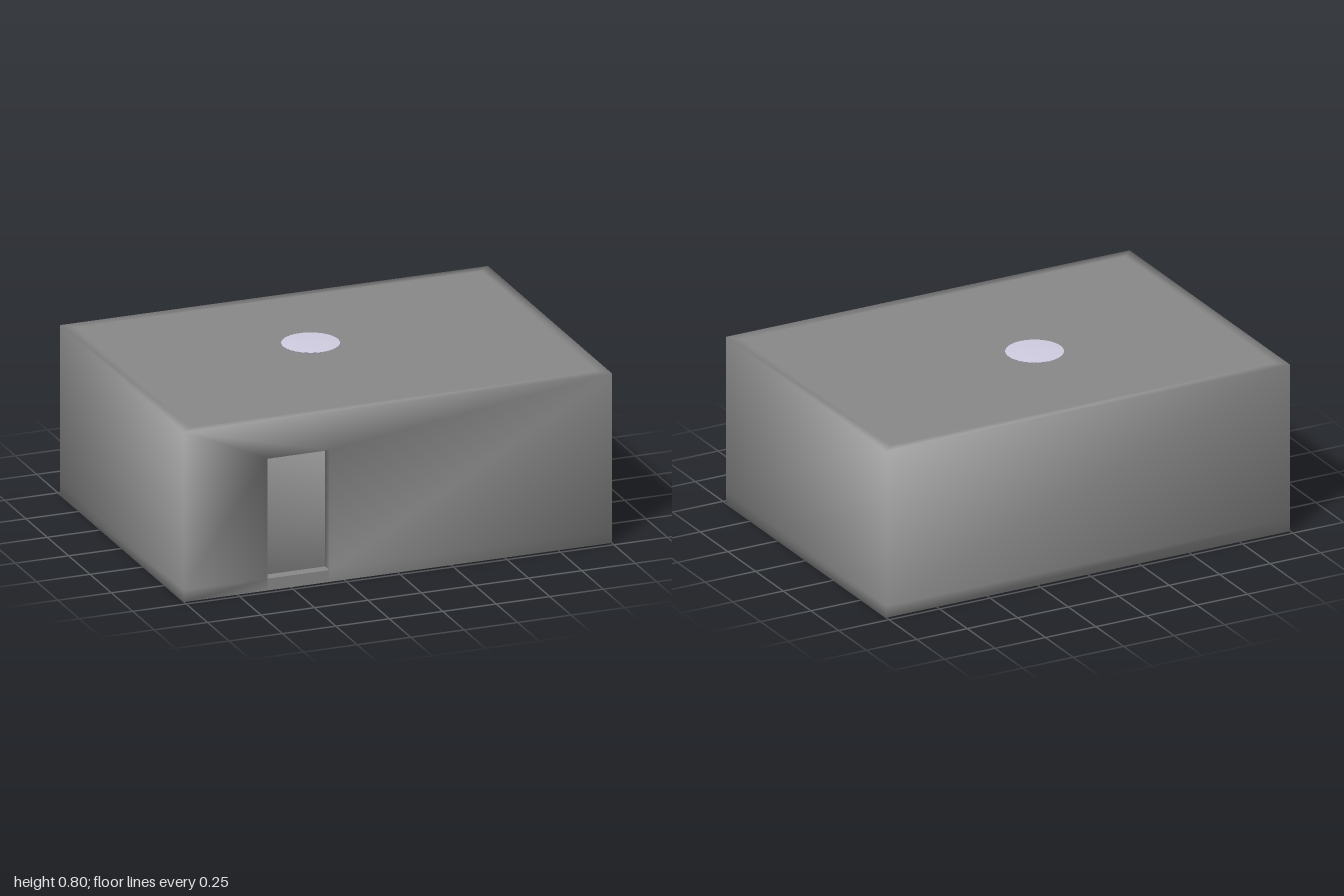
import * as THREE from 'three';

const H = 0.785, Z = 0.725, T = 0.05;          // outer height, half depth, wall thickness
const FLOOR = 0.055, CEIL = H - T;
const DOOR = { l: -0.61, r: -0.32, top: 0.61 };

// Collects quads with shared corners and smooths them by corner angle
function smoothQuads(quads) {
  const index = new Map(), pos = [], idx = [];
  const id = (p) => {
    const key = p.map((v) => v.toFixed(4)).join();
    if (!index.has(key)) { index.set(key, index.size); pos.push(...p); }
    return index.get(key);
  };
  for (const q of quads) {
    const [a, b, c, d] = q.map(id);
    idx.push(a, b, c, a, c, d);
  }
  const at = (i) => new THREE.Vector3().fromArray(pos, i * 3);
  const normals = Array.from({ length: index.size }, () => new THREE.Vector3());
  for (let t = 0; t < idx.length; t += 3) {
    for (let k = 0; k < 3; k++) {
      const i = idx[t + k], p = at(i);
      const u = at(idx[t + (k + 1) % 3]).sub(p), v = at(idx[t + (k + 2) % 3]).sub(p);
      const n = u.clone().cross(v).normalize();
      normals[i].addScaledVector(n, u.angleTo(v));
    }
  }
  const g = new THREE.BufferGeometry();
  g.setAttribute('position', new THREE.Float32BufferAttribute(pos, 3));
  g.setAttribute('normal', new THREE.Float32BufferAttribute(normals.flatMap((n) => n.normalize().toArray()), 3));
  g.setIndex(idx);
  return g;
}

// Ground plan corners: front left, front right, back right, back left
const plan = (w, d) => [[-w, d], [w, d], [w, -d], [-w, -d]];

// Front wall around the doorway
function doorWall(w, z, y0, y1) {
  const { l, r, top } = DOOR;
  const f = (...pts) => pts.map(([x, y]) => [x, y, z]);
  return [
    f([-w, y0], [l, y0], [l, top], [-w, y1]),
    f([-w, y1], [l, top], [r, top], [w, y1]),
    f([r, y0], [w, y0], [w, y1], [r, top]),
  ];
}

function roomGeometry() {
  const outer = plan(1, Z), inner = plan(1 - T, Z - T);
  const at = ([x, z], y) => [x, y, z];
  const wall = (c, i, y0, y1) => {
    const a = c[i], b = c[(i + 1) % 4];
    return [at(a, y0), at(b, y0), at(b, y1), at(a, y1)];
  };
  const flip = (q) => [...q].reverse();
  const { l, r, top } = DOOR, zi = Z - T;
  const quads = [];

  // Side and back walls, inside and outside
  for (let i = 1; i < 4; i++) {
    quads.push(wall(outer, i, 0, FLOOR), wall(outer, i, FLOOR, H), flip(wall(inner, i, FLOOR, CEIL)));
  }
  // Front wall with its footing on both sides of the doorway
  quads.push(...doorWall(1, Z, FLOOR, H), ...doorWall(1 - T, zi, FLOOR, CEIL).map(flip));
  for (const [a, b] of [[-1, l], [r, 1]]) {
    quads.push([[a, 0, Z], [b, 0, Z], [b, FLOOR, Z], [a, FLOOR, Z]]);
  }
  // Door jambs and head
  const jamb = (x) => [[x, FLOOR, Z], [x, FLOOR, zi], [x, top, zi], [x, top, Z]];
  quads.push(jamb(l), flip(jamb(r)), [[l, top, Z], [l, top, zi], [r, top, zi], [r, top, Z]]);
  // Roof with a border strip, underside, floor and ceiling
  for (let i = 0; i < 4; i++) {
    const j = (i + 1) % 4;
    quads.push([at(outer[i], H), at(outer[j], H), at(inner[j], H), at(inner[i], H)]);
  }
  quads.push(inner.map((p) => at(p, H)), flip(outer.map((p) => at(p, 0))));
  quads.push(inner.map((p) => at(p, FLOOR)), flip(inner.map((p) => at(p, CEIL))));
  return smoothQuads(quads);
}

export function createModel() {
  const group = new THREE.Group();
  const add = (name, geometry, material) => {
    const mesh = new THREE.Mesh(geometry, material);
    mesh.name = name;
    group.add(mesh);
    return mesh;
  };
  const wallMat = new THREE.MeshStandardMaterial({ color: 0x888888 });
  const lampMat = new THREE.MeshStandardMaterial({ color: 0xd0cce0 });

  add('roomShell', roomGeometry(), wallMat);

  // Flat step filling the foot of the doorway
  const sill = add('doorSill', new THREE.BoxGeometry(DOOR.r - DOOR.l, FLOOR, T), wallMat);
  sill.position.set((DOOR.l + DOOR.r) / 2, FLOOR / 2, Z - T / 2);

  // Shallow round dish on the roof, wider at its rim
  const profile = [[0, 0], [0.11, 0], [0.122, 0.005], [0.128, 0.012], [0, 0.012]]
    .map(([x, y]) => new THREE.Vector2(x, y));
  const dish = add('roofDish', new THREE.LatheGeometry(profile, 48), lampMat);
  dish.position.set(-0.085, H + 0.001, -0.085);

  return group;
}
